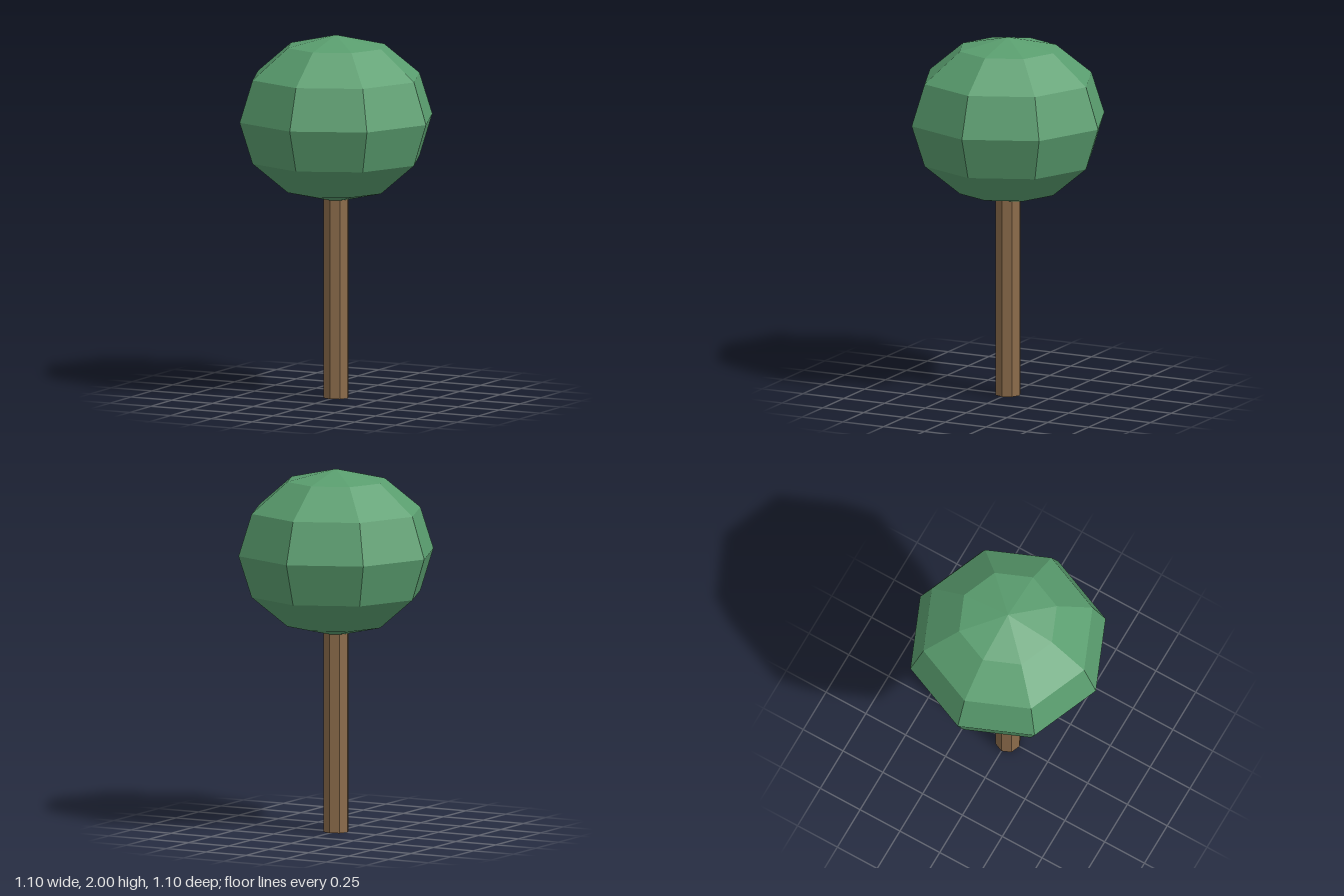
import * as THREE from 'three';

const SIDES = 8;

function part(name, geometry, color, y) {
  const material = new THREE.MeshStandardMaterial({ color, flatShading: true });
  const mesh = new THREE.Mesh(geometry, material);
  mesh.name = name;
  mesh.position.y = y;
  return mesh;
}

export function createModel() {
  const tree = new THREE.Group();
  tree.name = 'tree';

  // Straight eight-sided trunk, reaching just inside the canopy
  const trunkHeight = 1.12;
  const trunk = new THREE.CylinderGeometry(0.072, 0.072, trunkHeight, SIDES);
  tree.add(part('trunk', trunk, 0x8b6b4a, trunkHeight / 2));

  // Faceted canopy, slightly flattened
  const canopy = new THREE.SphereGeometry(1, SIDES, 6).scale(0.552, 0.46, 0.552);
  tree.add(part('canopy', canopy, 0x5a9e6f, 1.54));

  return tree;
}
